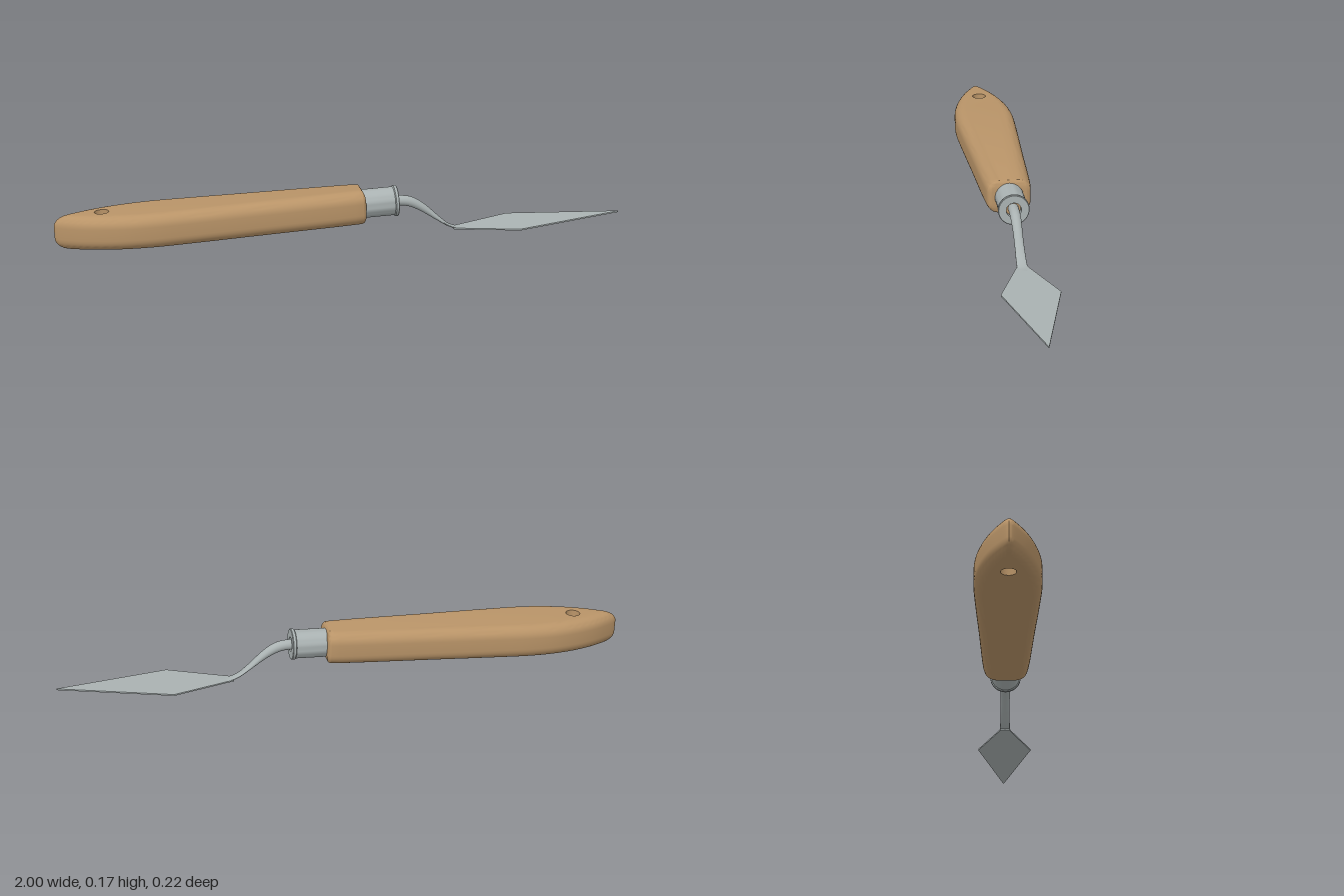
import * as THREE from 'three';
import { mergeGeometries, toCreasedNormals } from 'three/addons/utils/BufferGeometryUtils.js';

const wood = new THREE.MeshStandardMaterial({ color: 0xb99468 });
const woodInside = new THREE.MeshStandardMaterial({ color: 0xb99468, side: THREE.DoubleSide });
const steel = new THREE.MeshStandardMaterial({ color: 0xaab2b2 });

function named(name, geometry, material) {
  const mesh = new THREE.Mesh(geometry, material);
  mesh.name = name;
  return mesh;
}

// Skin a list of closed rings of Vector3
function loft(rings) {
  const n = rings[0].length, index = [];
  for (let j = 0; j < rings.length - 1; j++) {
    for (let i = 0; i < n; i++) {
      const k = (i + 1) % n, a = j * n + i, b = j * n + k;
      index.push(a, b, b + n, a, b + n, a + n);
    }
  }
  const geo = new THREE.BufferGeometry().setFromPoints(rings.flat());
  geo.setIndex(index);
  return geo;
}

// Smooth half outline through [x, z] points, mirrored into a closed loop
function mirroredLoop(points) {
  const half = new THREE.CatmullRomCurve3(points.map(([x, z]) => new THREE.Vector3(x, 0, z))).getPoints(60);
  const other = half.slice(1, -1).reverse().map(p => new THREE.Vector3(p.x, 0, -p.z));
  return [...half, ...other];
}

function createHandle() {
  const group = new THREE.Group();
  group.name = 'handle';
  const halfHeight = 0.06, round = 0.04, holeX = -0.835, holeR = 0.025;
  // Widest outline (x, z) paired with the edge of the flat face (x, z)
  const profile = [
    [-1, 0, -0.945, 0], [-0.996, 0.008, -0.942, 0.004], [-0.95, 0.038, -0.92, 0.014],
    [-0.9, 0.063, -0.88, 0.03], [-0.83, 0.087, -0.815, 0.05], [-0.75, 0.104, -0.743, 0.063],
    [-0.66, 0.11, -0.66, 0.07], [-0.55, 0.107, -0.551, 0.067], [-0.3, 0.095, -0.302, 0.055],
    [0.05, 0.077, 0.046, 0.037], [0.064, 0.073, 0.055, 0.034], [0.07, 0.062, 0.058, 0.028],
    [0.07, 0.052, 0.058, 0.022], [0.07, 0, 0.058, 0],
  ];
  const outer = mirroredLoop(profile.map(p => [p[0], p[1]]));
  const inner = mirroredLoop(profile.map(p => [p[2], p[3]]));

  // Rounded sides
  const rings = [], steps = 8;
  for (const side of [-1, 1]) {
    for (let s = 0; s <= steps; s++) {
      const a = (side < 0 ? s - steps : s) / steps * Math.PI / 2;
      const y = side * (halfHeight - round) + round * Math.sin(a);
      rings.push(inner.map((q, i) => q.clone().lerp(outer[i], Math.cos(a)).setY(y)));
    }
  }
  // Flat top and bottom, pierced by the hanging hole
  const shape = new THREE.Shape(inner.map(p => new THREE.Vector2(p.x, p.z)));
  shape.holes.push(new THREE.Path().absarc(holeX, 0, holeR, 0, Math.PI * 2, true));
  const caps = [1, -1].map(s =>
    new THREE.ShapeGeometry(shape, 24).rotateX(-s * Math.PI / 2).translate(0, s * halfHeight, 0));
  const parts = [loft(rings), ...caps].map(g => {
    g = g.toNonIndexed();
    g.deleteAttribute('uv');
    g.deleteAttribute('normal');
    return g;
  });
  group.add(named('grip', toCreasedNormals(mergeGeometries(parts), 0.7), wood));

  const hole = new THREE.CylinderGeometry(holeR, holeR, halfHeight * 2, 24, 1, true).translate(holeX, 0, 0);
  group.add(named('hangingHole', hole, woodInside));

  // Wooden tenon filling the ferrule
  const tenon = new THREE.CylinderGeometry(0.044, 0.044, 0.12, 32).rotateZ(-Math.PI / 2).translate(0.11, 0, 0);
  group.add(named('tenon', tenon, wood));

  // Metal ferrule with a small end rim and a central opening
  const ferrule = [[0.05, 0.05], [0.05, 0.176], [0.054, 0.179], [0.054, 0.188], [0.052, 0.19], [0.026, 0.19], [0.026, 0.165]]
    .map(([r, x]) => new THREE.Vector2(r, x));
  const ferruleGeo = toCreasedNormals(new THREE.LatheGeometry(ferrule, 40).rotateZ(-Math.PI / 2), 0.5);
  group.add(named('ferrule', ferruleGeo, steel));

  group.rotation.z = 0.045;
  group.position.y = 0.107;
  return group;
}

// Cranked rod that flattens as it meets the blade
function createShank() {
  const path = new THREE.CatmullRomCurve3([
    [0.14, 0.112], [0.2, 0.115], [0.235, 0.11], [0.275, 0.09], [0.335, 0.045], [0.375, 0.017], [0.41, 0.006], [0.44, 0.007],
  ].map(([x, y]) => new THREE.Vector3(x, y, 0)));
  const rings = [], steps = 40, sides = 20;
  for (let s = 0; s <= steps; s++) {
    const p = path.getPointAt(s / steps), t = path.getTangentAt(s / steps);
    const f = THREE.MathUtils.smoothstep(p.x, 0.22, 0.41);
    const h = THREE.MathUtils.lerp(0.018, 0.003, f);
    const w = 0.018 - 0.002 * Math.sin(f * Math.PI);
    const ring = [];
    for (let i = 0; i < sides; i++) {
      const a = i / sides * Math.PI * 2, up = h * Math.cos(a);
      ring.push(new THREE.Vector3(p.x - t.y * up, p.y + t.x * up, w * Math.sin(a)));
    }
    rings.push(ring);
  }
  const geo = loft(rings);
  geo.computeVertexNormals();
  return named('shank', geo, steel);
}

// Thin diamond blade, rising slightly to its point
function createBlade() {
  const half = [[0, 0.016], [0.025, 0.024], [0.22, 0.098], [0.607, 0.001]];
  const outline = [...half, ...half.map(([x, z]) => [x, -z]).reverse()].map(([x, z]) => new THREE.Vector2(x, z));
  const geo = new THREE.ExtrudeGeometry(new THREE.Shape(outline), { depth: 0.005, bevelEnabled: false });
  geo.rotateX(-Math.PI / 2);
  const blade = named('blade', geo, steel);
  blade.position.set(0.393, 0.002, 0);
  blade.rotation.z = 0.045;
  return blade;
}

export function createModel() {
  const model = new THREE.Group();
  model.name = 'paletteKnife';
  model.add(createHandle(), createShank(), createBlade());
  return model;
}
